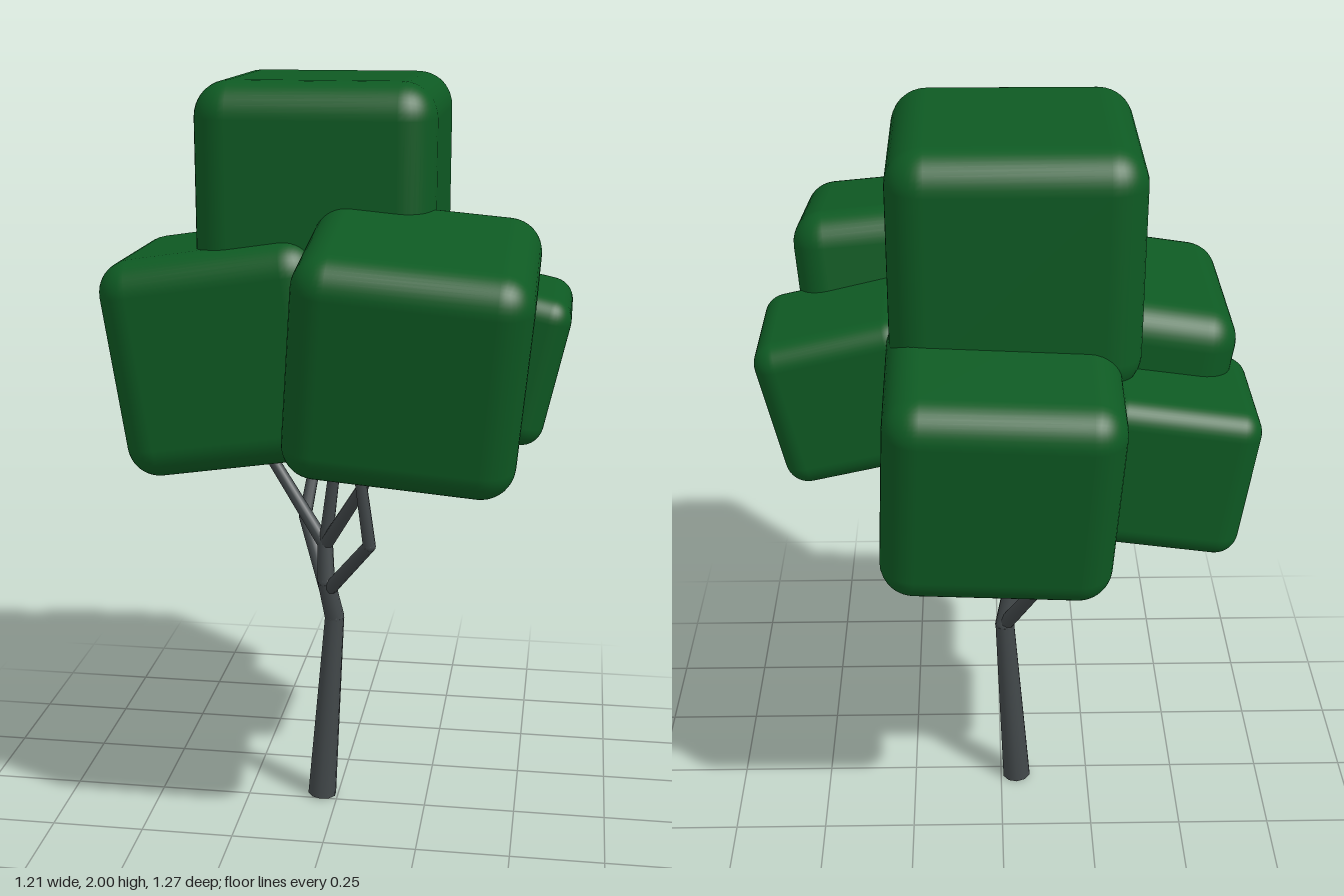
import * as THREE from 'three';
import { RoundedBoxGeometry } from 'three/addons/geometries/RoundedBoxGeometry.js';

const leafGreen = new THREE.MeshStandardMaterial({ color: 0x0e5a23 });
leafGreen.name = 'leafGreen';
const barkGrey = new THREE.MeshStandardMaterial({ color: 0x42484a });
barkGrey.name = 'barkGrey';

// A limb runs through points [x, y, z, radius] as tapered segments with rounded joints
function limb(name, points) {
  const group = new THREE.Group();
  group.name = name;
  for (let i = 0; i + 1 < points.length; i++) {
    const a = new THREE.Vector3(...points[i]);
    const b = new THREE.Vector3(...points[i + 1]);
    const dir = b.clone().sub(a);
    const segment = new THREE.Mesh(
      new THREE.CylinderGeometry(points[i + 1][3], points[i][3], dir.length(), 10), barkGrey);
    segment.name = name + 'Segment';
    segment.position.copy(a).add(b).multiplyScalar(0.5);
    segment.quaternion.setFromUnitVectors(new THREE.Vector3(0, 1, 0), dir.normalize());
    group.add(segment);
    if (i > 0) {
      const joint = new THREE.Mesh(new THREE.SphereGeometry(points[i][3], 10, 8), barkGrey);
      joint.name = name + 'Joint';
      joint.position.copy(a);
      group.add(joint);
    }
  }
  return group;
}

// A leaf block is a softly rounded cube, tilted outward from the trunk
function leafBlock(name, size, position, tiltX, tiltZ) {
  const mesh = new THREE.Mesh(new RoundedBoxGeometry(size, size, size, 5, size * 0.15), leafGreen);
  mesh.name = name;
  mesh.position.set(...position);
  mesh.rotation.set(tiltX, 0, tiltZ);
  return mesh;
}

export function createModel() {
  const tree = new THREE.Group();
  tree.name = 'tree';

  // Trunk and branches
  tree.add(
    limb('trunk', [[-0.045, 0.003, -0.03, 0.04], [-0.01, 0.54, -0.035, 0.027],
      [-0.03, 0.65, -0.015, 0.024], [-0.035, 0.76, -0.03, 0.021]]),
    limb('frontBranch', [[-0.02, 0.63, -0.015, 0.019], [0.11, 0.82, 0.16, 0.017],
      [0.085, 1.03, 0.18, 0.015], [0.13, 1.14, 0.25, 0.013]]),
    limb('backBranch', [[-0.015, 0.55, -0.04, 0.021], [-0.115, 0.78, -0.18, 0.018],
      [-0.085, 1.02, -0.32, 0.015]]),
    limb('rightBranch', [[-0.035, 0.75, -0.03, 0.019], [-0.19, 0.965, -0.1, 0.016],
      [-0.4, 1.04, -0.16, 0.012]]),
    limb('rightTwig', [[-0.19, 0.965, -0.1, 0.015], [-0.28, 1.06, -0.07, 0.012]]),
    limb('middleBranch', [[-0.035, 0.75, -0.03, 0.019], [-0.01, 0.95, -0.02, 0.016],
      [0.0, 1.45, 0.0, 0.013]]),
    limb('leftBranch', [[-0.035, 0.75, -0.03, 0.019], [0.08, 0.95, 0.08, 0.016],
      [0.15, 1.14, 0.13, 0.013]]));

  // Crown of leaf blocks
  tree.add(
    leafBlock('topLeaves', 0.6, [-0.03, 1.7, -0.06], 0, 0),
    leafBlock('frontLeaves', 0.555, [0.235, 1.39, 0.33], 0.17, -0.09),
    leafBlock('rightLeaves', 0.56, [-0.26, 1.315, 0.02], 0, 0.15),
    leafBlock('backLeaves', 0.56, [0.01, 1.26, -0.325], -0.14, 0.05),
    leafBlock('smallLeftLeaves', 0.39, [0.385, 1.315, -0.035], 0, -0.22),
    leafBlock('smallRightLeaves', 0.385, [-0.395, 1.235, -0.28], 0, 0.14));

  return tree;
}
